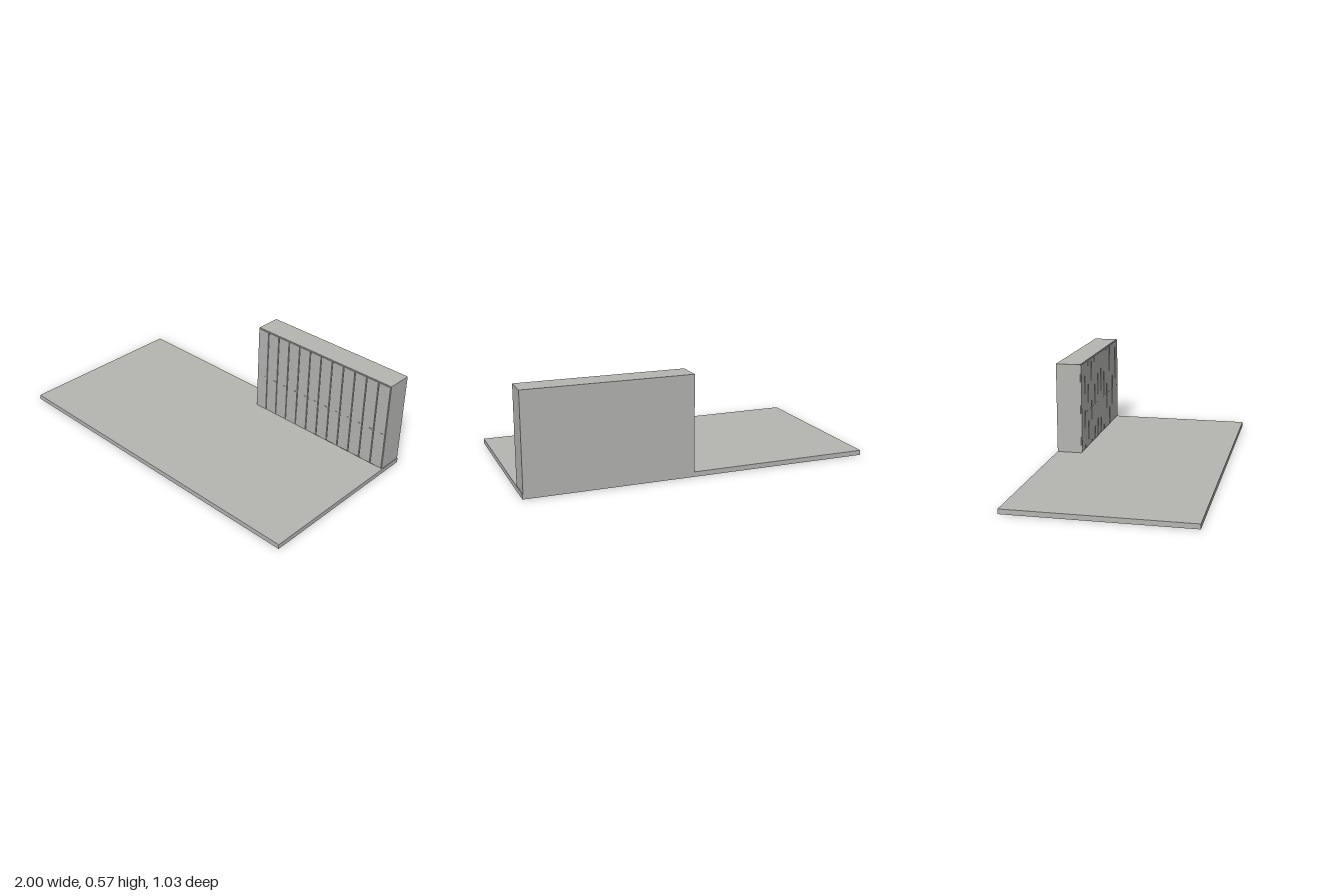
import * as THREE from 'three';

export function createModel() {
  const model = new THREE.Group();
  const grey = new THREE.MeshStandardMaterial({ color: 0xb4b4b1 });
  grey.name = 'warm grey';

  // Box given by its lower and upper corners
  function box(name, x0, x1, y0, y1, z0, z1, parent = model) {
    const mesh = new THREE.Mesh(new THREE.BoxGeometry(x1 - x0, y1 - y0, z1 - z0), grey);
    mesh.position.set((x0 + x1) / 2, (y0 + y1) / 2, (z0 + z1) / 2);
    mesh.name = name;
    parent.add(mesh);
  }

  // Floor slab
  box('floorSlab', -1, 1, 0, 0.028, -0.517, 0.517);

  // Row of twelve lockers along the back edge
  const count = 12, left = 0.052, right = 0.996;
  const pitch = (right - left) / count;
  for (let i = 0; i < count; i++) {
    const locker = new THREE.Group();
    locker.name = 'locker' + (i + 1);
    const x = left + i * pitch;
    box('cabinet', x, x + pitch, 0.028, 0.573, -0.517, -0.368, locker);
    // Door with a narrow gap on either side
    box('door', x + 0.003, x + pitch - 0.003, 0.034, 0.568, -0.368, -0.362, locker);
    // Small handle near the opening edge
    box('handle', x + pitch - 0.03, x + pitch - 0.014, 0.257, 0.262, -0.362, -0.36, locker);
    model.add(locker);
  }
  return model;
}
